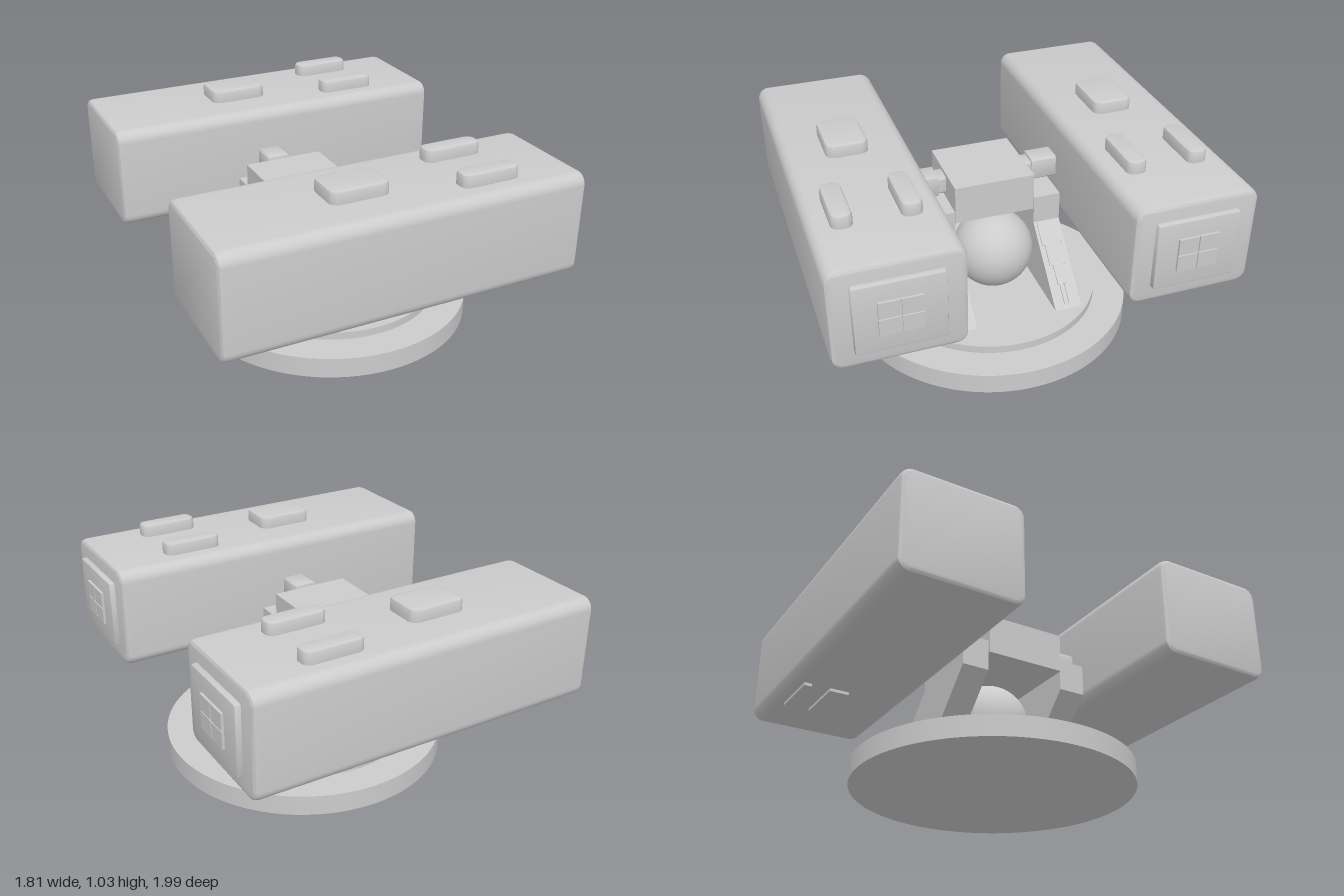
import * as THREE from 'three';
import { toCreasedNormals } from 'three/addons/utils/BufferGeometryUtils.js';

const material = new THREE.MeshStandardMaterial({ color: 0xcccccc });

function add(parent, name, geometry, x = 0, y = 0, z = 0) {
  const mesh = new THREE.Mesh(geometry, material);
  mesh.name = name;
  mesh.position.set(x, y, z);
  parent.add(mesh);
  return mesh;
}

// Rounded rectangle w by h, extruded to a total depth d along z, centred, with bevelled rims
function slab(w, h, d, radius, bevel, bevelDepth = bevel) {
  const a = w / 2 - bevel, b = h / 2 - bevel, r = radius;
  const s = new THREE.Shape();
  s.moveTo(-a + r, -b);
  s.lineTo(a - r, -b);
  s.absarc(a - r, -b + r, r, -Math.PI / 2, 0);
  s.lineTo(a, b - r);
  s.absarc(a - r, b - r, r, 0, Math.PI / 2);
  s.lineTo(-a + r, b);
  s.absarc(-a + r, b - r, r, Math.PI / 2, Math.PI);
  s.lineTo(-a, -b + r);
  s.absarc(-a + r, -b + r, r, Math.PI, Math.PI * 1.5);
  const g = new THREE.ExtrudeGeometry(s, {
    depth: d - 2 * bevelDepth, bevelEnabled: true, bevelSegments: 2,
    bevelSize: bevel, bevelThickness: bevelDepth, curveSegments: 4,
  });
  g.translate(0, 0, -(d / 2 - bevelDepth));
  return toCreasedNormals(g, 0.7);
}

const alongX = (g) => g.rotateY(Math.PI / 2);
const alongY = (g) => g.rotateX(-Math.PI / 2);

// Long housing with top buttons, end plate and underside pads; side is +1 or -1
function createPod(side) {
  const pod = new THREE.Group();
  pod.name = side > 0 ? 'frontPod' : 'backPod';
  pod.position.z = 0.69 * side;
  add(pod, 'housing', alongX(slab(0.612, 0.51, 1.775, 0.04, 0.018, 0.03)), -0.0225, 0.715, 0);

  // Top buttons
  add(pod, 'largeButton', alongY(slab(0.29, 0.205, 0.12, 0.025, 0.018)), -0.175, 0.972, 0);
  for (const z of [-0.155, 0.155]) {
    add(pod, 'smallButton', alongY(slab(0.295, 0.098, 0.12, 0.02, 0.018)), 0.4225, 0.972, z);
  }

  // End plate with a four-pane window
  add(pod, 'endPlate', alongX(slab(0.412, 0.345, 0.06, 0.003, 0.008)), 0.863, 0.717, 0);
  add(pod, 'windowFrame', new THREE.BoxGeometry(0.02, 0.17, 0.2), 0.888, 0.717, 0);
  for (const y of [-1, 1]) {
    for (const z of [-1, 1]) {
      add(pod, 'windowPane', new THREE.BoxGeometry(0.02, 0.082, 0.097),
        0.895, 0.717 + y * 0.044, z * 0.0515);
    }
  }

  // Underside pads
  add(pod, 'widePad', new THREE.BoxGeometry(0.29, 0.04, 0.1), 0.42, 0.465, -0.05);
  add(pod, 'narrowPad', new THREE.BoxGeometry(0.29, 0.04, 0.04), 0.42, 0.465, -0.215);
  return pod;
}

// Slanted support plate with a stepped strip on its sloping face
function createArm(side) {
  const arm = new THREE.Group();
  arm.name = side > 0 ? 'frontArm' : 'backArm';
  arm.position.z = 0.28 * side;
  const outline = [[0.03, 0.15], [0.44, 0.15], [0.105, 0.48], [0.105, 0.63], [-0.29, 0.63], [-0.29, 0.47]];
  const shape = new THREE.Shape(outline.map(([x, y]) => new THREE.Vector2(x, y)));
  const plate = new THREE.ExtrudeGeometry(shape, { depth: 0.14, bevelEnabled: false });
  plate.translate(0, 0, -0.07);
  add(arm, 'supportPlate', plate);

  // Each step: start, end, width, offset
  const strip = new THREE.Group();
  strip.name = 'steppedStrip';
  strip.position.set(0.105, 0.48, 0);
  strip.rotation.z = -Math.atan2(0.33, 0.335);
  const steps = [
    [0.007, 0.128, 0.11, 0], [0.128, 0.24, 0.084, 0], [0.24, 0.34, 0.05, 0],
    [0.34, 0.445, 0.008, -0.012], [0.34, 0.445, 0.008, 0.012],
  ];
  for (const [from, to, width, z] of steps) {
    add(strip, 'stripStep', new THREE.BoxGeometry(to - from, 0.014, width), (from + to) / 2, 0, z);
  }
  arm.add(strip);
  return arm;
}

export function createModel() {
  const model = new THREE.Group();
  model.name = 'twinPodMount';

  // Stepped round base
  add(model, 'baseDisc', new THREE.CylinderGeometry(0.718, 0.718, 0.105, 96), 0.055, 0.0525, 0.02);
  add(model, 'upperDisc', new THREE.CylinderGeometry(0.555, 0.555, 0.05, 96), 0.055, 0.12, 0.02);

  // Ball and central block
  add(model, 'ball', new THREE.SphereGeometry(0.205, 48, 32), 0.07, 0.356, 0);
  add(model, 'centralBlock', new THREE.BoxGeometry(0.405, 0.2, 0.415), -0.0975, 0.665, 0);

  // Mirrored arms, connectors and pods
  for (const side of [1, -1]) {
    model.add(createArm(side));
    add(model, 'connectorNeck', slab(0.1, 0.095, 0.08, 0.012, 0.004), -0.1, 0.698, 0.235 * side);
    add(model, 'connector', slab(0.12, 0.117, 0.15, 0.012, 0.004), -0.1, 0.702, 0.325 * side);
    model.add(createPod(side));
  }
  return model;
}
